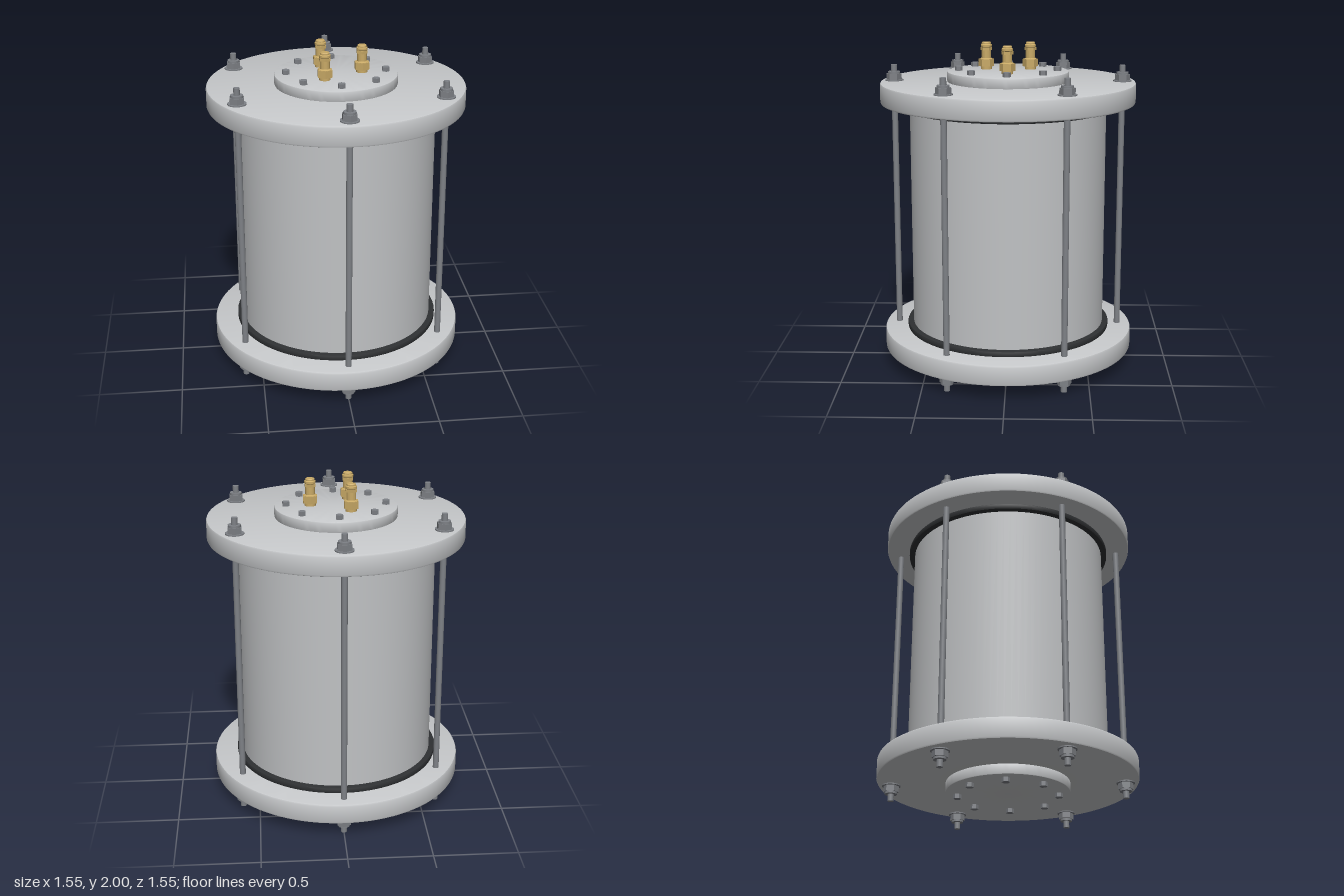
import * as THREE from 'three';
import { toCreasedNormals } from 'three/addons/utils/BufferGeometryUtils.js';

const material = (name, color) => {
  const m = new THREE.MeshStandardMaterial({ color });
  m.name = name;
  return m;
};

export function createModel() {
  const aluminium = material('aluminium', 0xc6c8ca);
  const tubeMetal = material('tube metal', 0xc0c2c4);
  const steel = material('dark steel', 0x7e8186);
  const rubber = material('black rubber', 0x2e3032);
  const brass = material('brass', 0xc8a966);

  const model = new THREE.Group();
  model.name = 'clampedVessel';

  const add = (parent, name, geometry, mat, x = 0, y = 0, z = 0) => {
    const mesh = new THREE.Mesh(geometry, mat);
    mesh.name = name;
    mesh.position.set(x, y, z);
    parent.add(mesh);
    return mesh;
  };
  const lathe = (profile, segments) => toCreasedNormals(
    new THREE.LatheGeometry(profile.map(([r, y]) => new THREE.Vector2(r, y)), segments), 0.6);
  // Solid disc with softened rims, from y0 to y1
  const disc = (r, y0, y1, b, segments = 96) => lathe(
    [[0, y0], [r - b, y0], [r - b * 0.3, y0 + b * 0.3], [r, y0 + b],
      [r, y1 - b], [r - b * 0.3, y1 - b * 0.3], [r - b, y1], [0, y1]], segments);
  // Upright prism; six sides give a hexagon with corners along z
  const prism = (r, y0, y1, sides) => {
    const g = new THREE.CylinderGeometry(r, r, y1 - y0, sides);
    g.translate(0, (y0 + y1) / 2, 0);
    return sides === 6 ? toCreasedNormals(g, 0.3) : g;
  };

  // Main tube
  add(model, 'tube', prism(0.6, 0.2, 1.67, 96), tubeMetal);

  // Tie rods, running through both flanges
  const rodSpots = [];
  for (let i = 0; i < 6; i++) {
    const a = i * Math.PI / 3;
    rodSpots.push([0.695 * Math.sin(a), 0.695 * Math.cos(a)]);
  }
  const rodGeometry = prism(0.0185, 0, 1.87, 20);
  for (const [x, z] of rodSpots) add(model, 'tieRod', rodGeometry, steel, x, 0, z);

  // End assemblies: the lower one is the upper one turned over
  const flange = disc(0.777, 1.645, 1.772, 0.012);
  const seal = disc(0.635, 1.612, 1.646, 0.006);
  const cover = disc(0.37, 1.77, 1.834, 0.006);
  const washer = prism(0.055, 1.771, 1.779, 28);
  const nut = prism(0.046, 1.778, 1.815, 6);
  const nutTop = prism(0.037, 1.814, 1.828, 24);
  const boltHead = prism(0.024, 1.832, 1.86, 6);
  for (const top of [true, false]) {
    const end = new THREE.Group();
    end.name = top ? 'upperEnd' : 'lowerEnd';
    if (!top) {
      end.rotation.x = Math.PI;
      end.position.y = 1.87;
    }
    model.add(end);
    add(end, 'flange', flange, aluminium);
    add(end, 'seal', seal, rubber);
    add(end, 'coverPlate', cover, aluminium);
    for (const [x, z] of rodSpots) {
      add(end, 'washer', washer, steel, x, 0, z);
      add(end, 'nut', nut, steel, x, 0, z);
      add(end, 'nutCollar', nutTop, steel, x, 0, z);
    }
    for (let i = 0; i < 8; i++) {
      const a = i * Math.PI / 4;
      add(end, 'coverBolt', boltHead, steel, 0.3 * Math.sin(a), 0, 0.3 * Math.cos(a));
    }
  }

  // Brass hose fittings on the upper cover
  const fittingHex = prism(0.048, 1.852, 1.896, 6);
  const upperHex = prism(0.036, 1.95, 1.968, 6);
  const fittingBody = lathe([[0, 1.832], [0.034, 1.832], [0.034, 1.852], [0.04, 1.853],
    [0.04, 1.897], [0.029, 1.903], [0.029, 1.966], [0.034, 1.972], [0.034, 1.984],
    [0.028, 1.988], [0.028, 1.996], [0.024, 2], [0, 2]], 32);
  for (const [x, z] of [[0.155, 0], [-0.08, 0.135], [-0.08, -0.135]]) {
    const fitting = new THREE.Group();
    fitting.name = 'hoseFitting';
    fitting.position.set(x, 0, z);
    model.add(fitting);
    add(fitting, 'fittingBody', fittingBody, brass);
    add(fitting, 'fittingHex', fittingHex, brass);
    add(fitting, 'upperHex', upperHex, brass);
  }

  return model;
}
